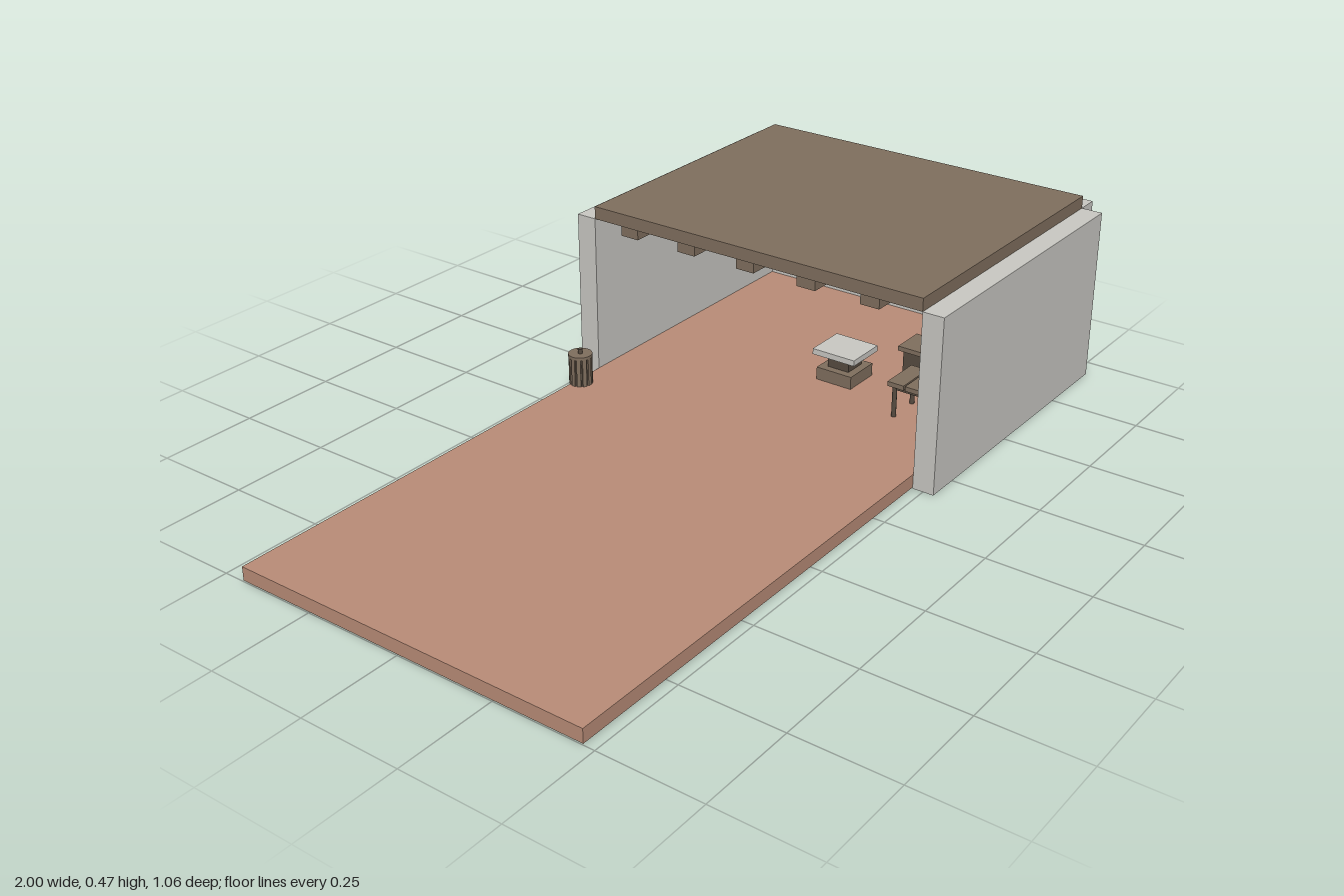
import * as THREE from 'three';

export function createModel() {
  const model = new THREE.Group();
  model.name = 'openRoom';

  const mat = (name, color) => {
    const m = new THREE.MeshStandardMaterial({ color });
    m.name = name;
    return m;
  };
  const stone = mat('pale stone', 0xcac9c4);
  const clay = mat('clay floor', 0xba8d78);
  const wood = mat('brown wood', 0x806f5e);
  const dark = mat('dark wood', 0x574c41);

  const add = (parent, name, geometry, material, x, y, z) => {
    const mesh = new THREE.Mesh(geometry, material);
    mesh.name = name;
    mesh.position.set(x, y, z);
    parent.add(mesh);
    return mesh;
  };
  // Box given by its limits on each axis
  const box = (parent, name, material, x0, x1, y0, y1, z0, z1) =>
    add(parent, name, new THREE.BoxGeometry(x1 - x0, y1 - y0, z1 - z0), material,
      (x0 + x1) / 2, (y0 + y1) / 2, (z0 + z1) / 2);
  const group = (name, x = 0, y = 0, z = 0) => {
    const g = new THREE.Group();
    g.name = name;
    g.position.set(x, y, z);
    model.add(g);
    return g;
  };

  // Floor, three walls and roof; the -x end stays open
  box(model, 'floor', clay, -1, 0.935, 0.003, 0.037, -0.445, 0.473);
  box(model, 'frontWall', stone, 0.165, 0.935, 0, 0.44, 0.473, 0.527);
  box(model, 'backWall', stone, 0.165, 0.935, 0, 0.44, -0.499, -0.445);
  box(model, 'endWall', stone, 0.935, 0.995, 0, 0.44, -0.445, 0.473);
  box(model, 'roof', wood, 0.165, 0.935, 0.44, 0.472, -0.445, 0.473);
  box(model, 'floorHatch', wood, -0.017, 0.152, 0, 0.006, 0.03, 0.2);

  // Ceiling beams
  for (let i = 0; i < 5; i++) {
    const z = -0.35 + i * 0.17;
    box(model, 'ceilingBeam', wood, 0.18, 0.935, 0.408, 0.44, z - 0.025, z + 0.025);
  }

  // Wall board with a ledge, showing slightly through the end wall
  const board = group('wallBoard');
  box(board, 'boardPanel', [stone, dark, dark, dark, dark, dark],
    0.925, 0.9985, 0.235, 0.36, -0.415, -0.252);
  box(board, 'boardLedge', clay, 0.88, 1, 0.226, 0.236, -0.416, -0.251);

  // Ribbed bin with lid and knob
  const bin = group('bin', 0.077, 0.037, -0.43);
  add(bin, 'binBody', new THREE.CylinderGeometry(0.026, 0.026, 0.072, 20), dark, 0, 0.036, 0);
  for (let i = 0; i < 12; i++) {
    const a = (i / 12) * Math.PI * 2;
    const rib = add(bin, 'binStave', new THREE.BoxGeometry(0.01, 0.072, 0.006), wood,
      Math.sin(a) * 0.026, 0.036, Math.cos(a) * 0.026);
    rib.rotation.y = a;
  }
  add(bin, 'binLid', new THREE.CylinderGeometry(0.03, 0.03, 0.008, 24), wood, 0, 0.076, 0);
  add(bin, 'binKnob', new THREE.CylinderGeometry(0.006, 0.006, 0.012, 10), dark, 0, 0.086, 0);

  // Barrel set into the back wall
  const barrel = group('barrel', 0.855, 0.04, -0.493);
  add(barrel, 'barrelBody', new THREE.CylinderGeometry(0.034, 0.034, 0.085, 24), stone, 0, 0.0425, 0);
  for (const y of [0.022, 0.068])
    add(barrel, 'barrelHoop', new THREE.CylinderGeometry(0.037, 0.037, 0.006, 24), wood, 0, y, 0);

  // Plank table
  const table = group('table', 0.425, 0.037, 0.345);
  for (let i = -1; i <= 1; i++)
    box(table, 'tablePlank', wood, -0.055, 0.055, 0.082, 0.094, i * 0.048 - 0.022, i * 0.048 + 0.022);
  box(table, 'tableFrame', dark, -0.045, 0.045, 0.072, 0.082, -0.06, 0.06);
  for (const x of [-0.043, 0.043])
    for (const z of [-0.056, 0.056])
      add(table, 'tableLeg', new THREE.CylinderGeometry(0.006, 0.006, 0.082, 8), dark, x, 0.041, z);

  // Long counter behind the table
  const counter = group('counter');
  box(counter, 'counterBody', dark, 0.57, 0.64, 0.037, 0.115, 0.2, 0.42);
  box(counter, 'counterTop', wood, 0.56, 0.65, 0.115, 0.127, 0.19, 0.43);

  // Block bench with a pale slab top
  const bench = group('bench');
  box(bench, 'benchBase', wood, 0.44, 0.54, 0.037, 0.07, 0.03, 0.13);
  box(bench, 'benchPost', dark, 0.46, 0.52, 0.07, 0.105, 0.05, 0.11);
  box(bench, 'benchSlab', stone, 0.435, 0.545, 0.105, 0.12, 0.02, 0.14);

  return model;
}
